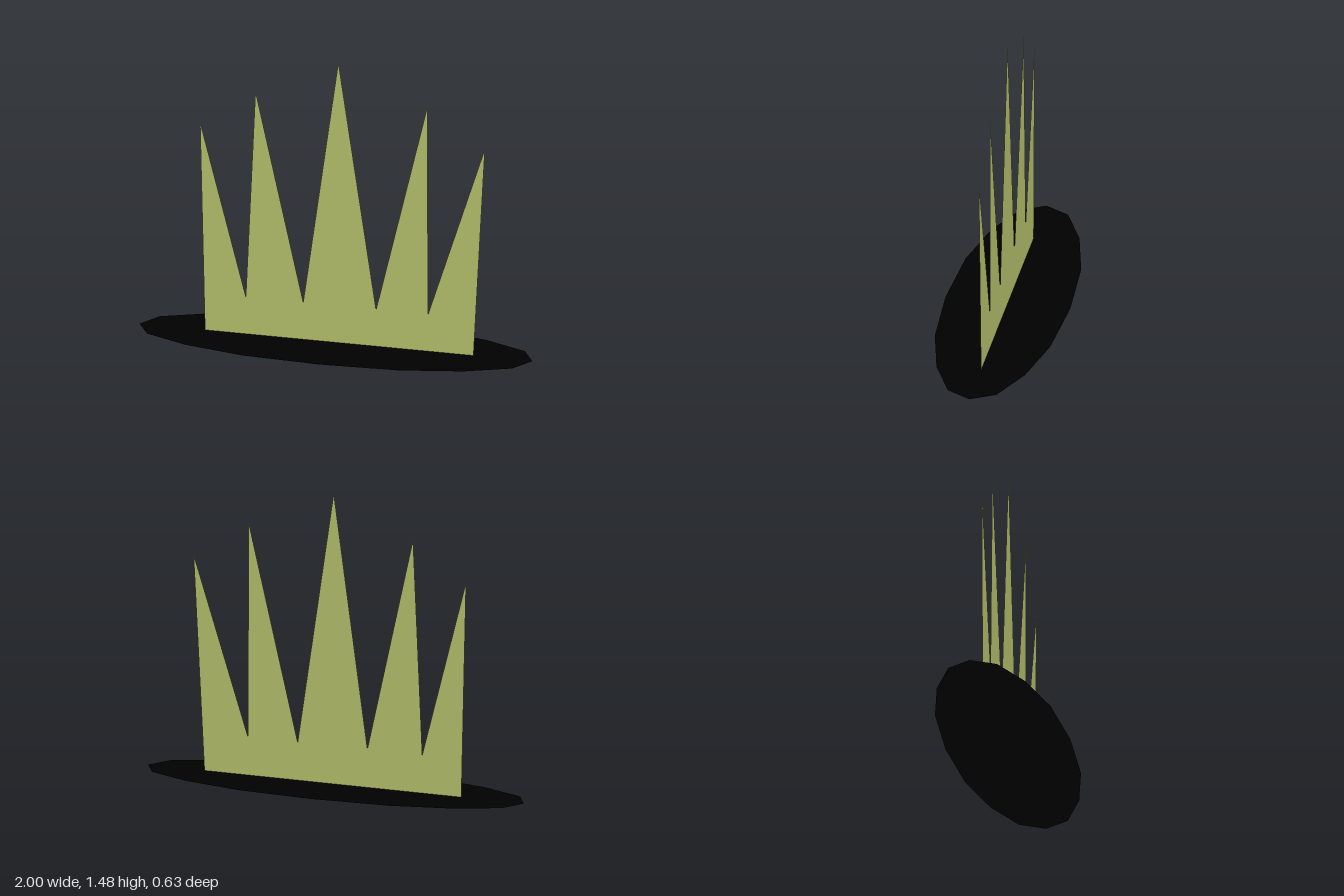
import * as THREE from 'three';

// Flat, two-sided sheet cut from a closed outline in the XY plane
function sheet(name, points, color) {
  const shape = new THREE.Shape(points.map(([x, y]) => new THREE.Vector2(x, y)));
  const material = new THREE.MeshStandardMaterial({ color, side: THREE.DoubleSide });
  const mesh = new THREE.Mesh(new THREE.ShapeGeometry(shape), material);
  mesh.name = name;
  return mesh;
}

export function createModel() {
  const group = new THREE.Group();
  group.name = 'grassTuft';

  // Upright blades, alternating tips and notches above a straight base
  group.add(sheet('grassBlades', [
    [-0.667, 0], [0.7, 0],
    [0.758, 1.094], [0.468, 0.192],
    [0.466, 1.29], [0.204, 0.192],
    [0.012, 1.478], [-0.167, 0.195],
    [-0.41, 1.284], [-0.459, 0.195],
    [-0.692, 1.094],
  ], 0xb3bf6b));

  // Sixteen-sided oval on the ground, mirrored from one quarter
  const quarter = [[1, 0], [0.93, 0.122], [0.707, 0.222], [0.398, 0.29], [0, 0.313]];
  const half = [...quarter, ...quarter.slice(0, 4).reverse().map(([x, y]) => [-x, y])];
  const oval = [...half, ...half.slice(1, -1).reverse().map(([x, y]) => [x, -y])];
  const ground = sheet('groundOval', oval, 0x000000);
  ground.geometry.rotateX(-Math.PI / 2);
  group.add(ground);

  return group;
}
